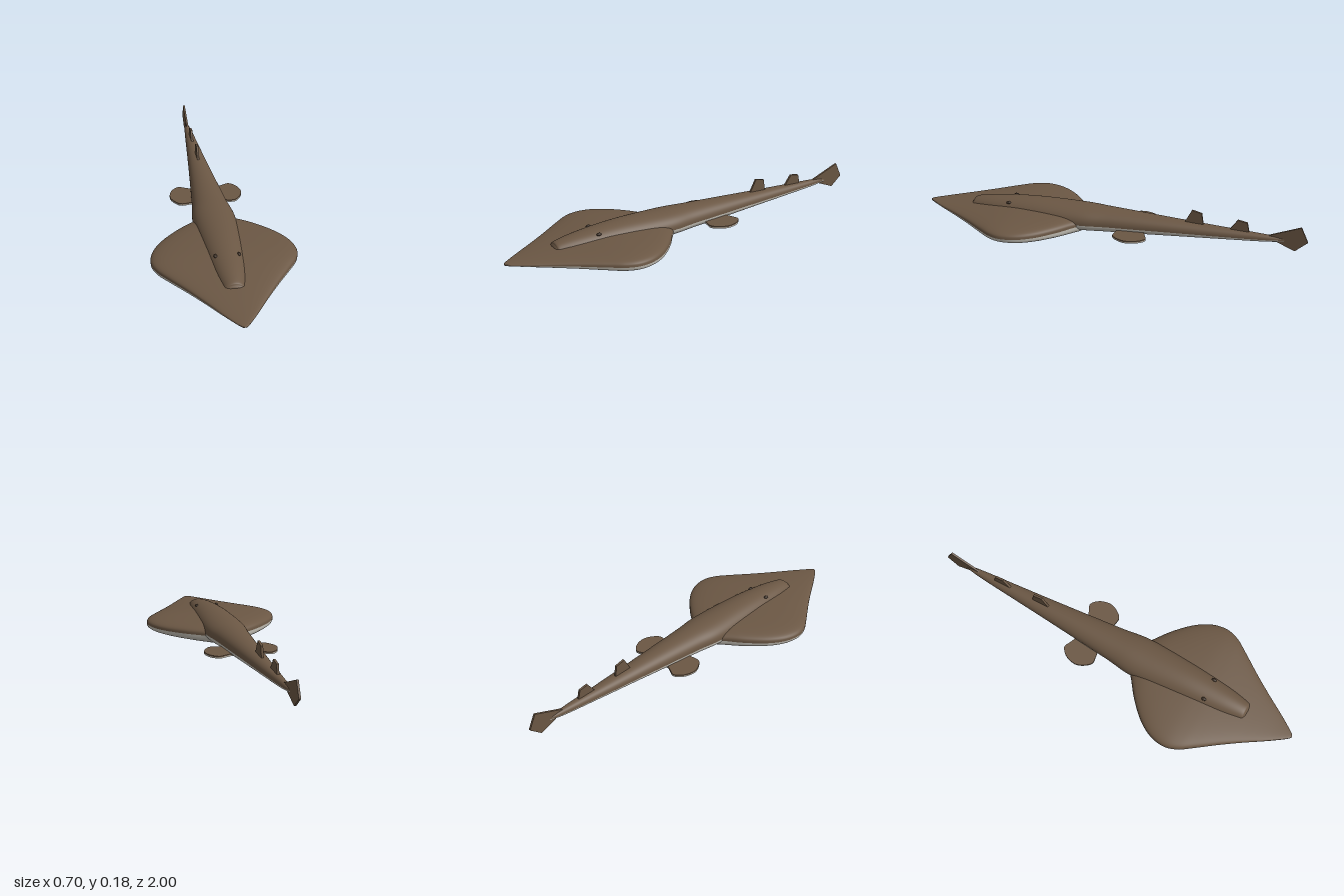
import * as THREE from 'three';

const mat = (name, color) => {
  const m = new THREE.MeshStandardMaterial({ color });
  m.name = name;
  return m;
};

// Surface lofted along z. Each section is [z, halfWidth, top, bottom, seam height].
// Builds the upper or the lower half, so back and belly can differ in colour.
function loftHalf(sections, power, upper, steps = 90, around = 40) {
  const curveA = new THREE.CatmullRomCurve3(
    sections.map(s => new THREE.Vector3(s[0], s[1], s[2])), false, 'catmullrom', 0.5);
  const curveB = new THREE.CatmullRomCurve3(
    sections.map(s => new THREE.Vector3(s[0], s[3], s[4])), false, 'catmullrom', 0.5);
  const pos = [], index = [];
  for (let i = 0; i <= steps; i++) {
    const a = curveA.getPoint(i / steps), b = curveB.getPoint(i / steps);
    const w = Math.max(a.y, 0.0005), mid = b.y === undefined ? 0 : b.z;
    const height = upper ? a.z - mid : mid - b.y;
    for (let j = 0; j <= around; j++) {
      const t = Math.PI * (j / around + (upper ? 0 : 1));
      const s = Math.sin(t);
      pos.push(w * Math.cos(t), mid + Math.sign(s) * Math.pow(Math.abs(s), power) * height, a.x);
    }
  }
  for (let i = 0; i < steps; i++) for (let j = 0; j < around; j++) {
    const a = i * (around + 1) + j, b = a + around + 1;
    index.push(a, b, a + 1, b, b + 1, a + 1);
  }
  const g = new THREE.BufferGeometry();
  g.setAttribute('position', new THREE.Float32BufferAttribute(pos, 3));
  g.setIndex(index);
  g.computeVertexNormals();
  return g;
}

// Upright plate in the middle plane, outline given as [z, y]
function uprightFin(points, thickness) {
  const shape = new THREE.Shape(points.map(p => new THREE.Vector2(...p)));
  return new THREE.ExtrudeGeometry(shape, { depth: thickness, bevelEnabled: false })
    .translate(0, 0, -thickness / 2).rotateY(-Math.PI / 2);
}

export function createModel() {
  const group = new THREE.Group();
  const brown = mat('brown back', 0x6b5744);
  const pale = mat('pale belly', 0xc4c0b6);
  const dark = mat('dark eye', 0x3a2e24);
  const add = (name, geometry, material) => {
    const mesh = new THREE.Mesh(geometry, material);
    mesh.name = name;
    group.add(mesh);
    return mesh;
  };

  // Broad flat disc of head and pectoral fins
  const disc = [
    [0.998, 0.002, 0.053, 0.047, 0.05], [0.98, 0.022, 0.056, 0.044, 0.05],
    [0.9, 0.078, 0.063, 0.038, 0.05], [0.8, 0.142, 0.073, 0.028, 0.05],
    [0.7, 0.21, 0.083, 0.019, 0.05], [0.6, 0.283, 0.092, 0.01, 0.05],
    [0.53, 0.33, 0.097, 0.004, 0.05], [0.46, 0.35, 0.1, 0.001, 0.05],
    [0.38, 0.335, 0.1, 0, 0.05], [0.3, 0.286, 0.098, 0, 0.05],
    [0.22, 0.205, 0.094, 0, 0.05], [0.16, 0.125, 0.085, 0.002, 0.05],
    [0.13, 0.085, 0.075, 0.008, 0.05], [0.11, 0.03, 0.06, 0.03, 0.05],
  ];
  add('discBack', loftHalf(disc, 0.62, true), brown);
  add('discBelly', loftHalf(disc, 0.62, false), pale);

  // Raised body running from the brow to the tail
  const body = [
    [0.752, 0.04, 0.07, 0.04, 0.055], [0.742, 0.048, 0.088, 0.035, 0.055],
    [0.72, 0.055, 0.103, 0.03, 0.055], [0.6, 0.078, 0.121, 0.02, 0.056],
    [0.4, 0.098, 0.135, 0.012, 0.058], [0.15, 0.107, 0.134, 0.01, 0.06],
    [0, 0.09, 0.129, 0.015, 0.062], [-0.2, 0.071, 0.121, 0.025, 0.064],
    [-0.4, 0.053, 0.112, 0.037, 0.067], [-0.6, 0.036, 0.104, 0.049, 0.07],
    [-0.8, 0.019, 0.096, 0.062, 0.075], [-0.9, 0.003, 0.085, 0.074, 0.079],
  ];
  add('bodyBack', loftHalf(body, 0.9, true), brown);
  add('bodyBelly', loftHalf(body, 0.9, false), pale);

  // Dorsal fins and tail fin
  add('frontDorsalFin', uprightFin(
    [[-0.385, 0.1], [-0.425, 0.177], [-0.475, 0.165], [-0.485, 0.1]], 0.011), brown);
  add('rearDorsalFin', uprightFin(
    [[-0.61, 0.092], [-0.655, 0.155], [-0.703, 0.146], [-0.715, 0.09]], 0.011), brown);
  add('tailFin', uprightFin(
    [[-0.79, 0.088], [-0.965, 0.157], [-1, 0.082], [-0.94, 0.03], [-0.85, 0.066]], 0.01), brown);

  // Pelvic fins (brown above, pale below) and eyes
  const pelvic = [[0.04, -0.07], [0.09, -0.06], [0.14, -0.056], [0.172, -0.09], [0.187, -0.135],
    [0.172, -0.19], [0.135, -0.224], [0.095, -0.21], [0.07, -0.2], [0.04, -0.2]];
  for (const side of [1, -1]) {
    const label = side > 0 ? 'left' : 'right';
    const shape = new THREE.Shape();
    shape.moveTo(side * pelvic[0][0], pelvic[0][1]);
    shape.splineThru(pelvic.slice(1).map(p => new THREE.Vector2(side * p[0], p[1])));
    const layer = y => new THREE.ExtrudeGeometry(shape,
      { depth: 0.006, bevelEnabled: false, curveSegments: 5 }).rotateX(Math.PI / 2).translate(0, y, 0);
    add(label + 'PelvicFinTop', layer(0.051), brown);
    add(label + 'PelvicFinUnderside', layer(0.045), pale);

    const eye = add(label + 'Eye', new THREE.SphereGeometry(0.011, 16, 12), dark);
    eye.scale.set(0.8, 0.7, 1.2);
    eye.position.set(side * 0.056, 0.113, 0.53);
  }
  return group;
}
